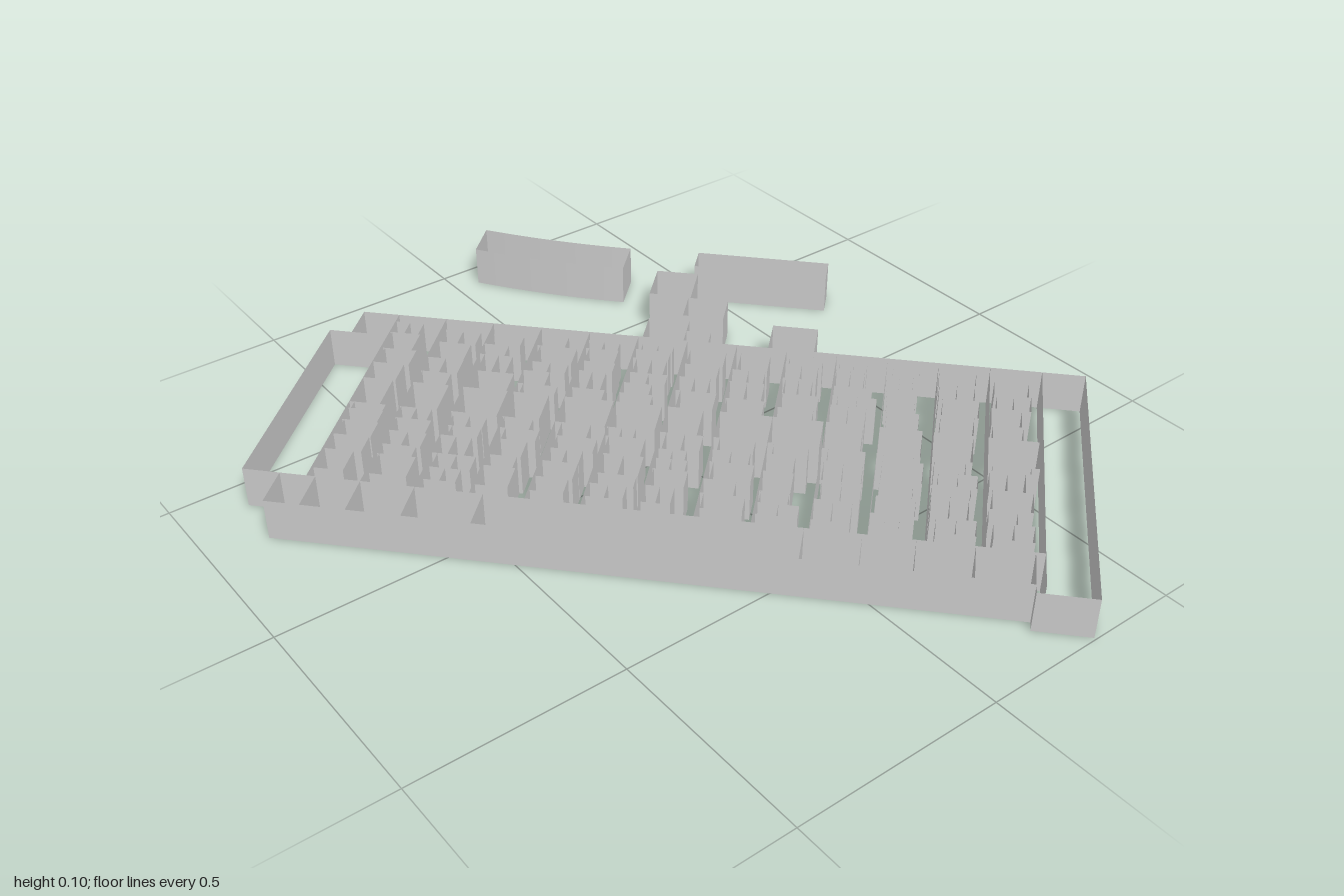
import * as THREE from 'three';

const H = 0.1;
const material = new THREE.MeshStandardMaterial({ color: 0xcccccc, side: THREE.DoubleSide, flatShading: true });

// Plan coordinates: l runs along the building, w across it
const A = [0.678, 0.735], B = [0.735, -0.678];
const toWorld = ([l, w]) => [l * A[0] + w * B[0], l * A[1] + w * B[1]];

// Open-topped vertical walls following a list of plan paths
function walls(name, paths) {
  const pos = [];
  for (const path of paths) {
    for (let i = 0; i < path.length - 1; i++) {
      const [x0, z0] = toWorld(path[i]), [x1, z1] = toWorld(path[i + 1]);
      pos.push(x0, 0, z0, x1, 0, z1, x1, H, z1, x0, 0, z0, x1, H, z1, x0, H, z0);
    }
  }
  const geo = new THREE.BufferGeometry();
  geo.setAttribute('position', new THREE.Float32BufferAttribute(pos, 3));
  geo.computeVertexNormals();
  const mesh = new THREE.Mesh(geo, material);
  mesh.name = name;
  return mesh;
}

const room = (l0, l1, w0, w1) => [[l0, w0], [l1, w0], [l1, w1], [l0, w1], [l0, w0]];

let seed = 7;
const rand = () => (seed = (seed * 16807) % 2147483647) / 2147483647;

export function createModel() {
  const group = new THREE.Group();
  group.name = 'floorPlan';

  // Outer shell with stepped corners
  group.add(walls('outerWalls', [[
    [0.925, -0.465], [0.92, 0.33], [-0.83, 0.325], [-0.83, 0.23], [-0.885, 0.23],
    [-0.885, -0.34], [-0.8, -0.34], [-0.8, -0.44], [0.8, -0.44], [0.8, -0.465], [0.925, -0.465],
  ]]));

  // Shallow rooms across both ends
  group.add(walls('endRooms', [
    [[0.82, -0.44], [0.82, 0.33]],
    [[-0.74, -0.34], [-0.74, 0.325]],
    [[-0.83, 0.23], [-0.74, 0.23]],
  ]));

  // Side bay: small rooms on either side of a long open court
  const bay = [[[-0.8, -0.34], [0.82, -0.34]]];
  for (const l of [-0.72, -0.62, -0.5, -0.35, 0.33, 0.45, 0.56, 0.68, 0.8]) bay.push([[l, -0.44], [l, -0.34]]);
  group.add(walls('sideBay', bay));

  // Repeated units, each with a party wall, a hall cell and two chains of rooms
  const party = [], halls = [], cells = [];
  const count = 13, l0 = -0.74, pitch = 1.56 / count;
  for (let i = 0; i < count; i++) {
    const l = l0 + i * pitch;
    if (i) party.push([[l, -0.34], [l, 0.325]]);
    halls.push(room(l, l + pitch * (0.6 + 0.4 * rand()), -0.055, 0.045));
    for (const [from, to] of [[-0.31, -0.055], [0.045, 0.295]]) {
      let w = from;
      while (w < to - 0.02) {
        const next = Math.min(w + 0.035 + 0.04 * rand(), to);
        const start = l + pitch * 0.15 * rand(), depth = pitch * (0.5 + 0.25 * rand());
        cells.push(room(start, start + depth, w, next));
        if (rand() < 0.5) cells.push([[start + depth / 2, w], [start + depth / 2, next]]);
        w = next;
      }
    }
  }
  group.add(walls('partyWalls', party), walls('hallCells', halls), walls('smallRooms', cells));

  // Porches on the long side
  group.add(walls('porches', [
    room(-0.13, -0.03, 0.326, 0.415),
    room(-0.03, 0.03, 0.326, 0.37),
    room(0.175, 0.285, 0.328, 0.43),
  ]));

  // Stepped links to the detached wing
  group.add(walls('linkRooms', [room(-0.05, 0.05, 0.44, 0.525), room(-0.15, -0.045, 0.53, 0.645)]));

  // Detached wing: a straight room and a room that bends outward
  group.add(walls('straightWing', [room(-0.06, 0.28, 0.685, 0.755)]));
  const bend = (w) => Array.from({ length: 9 }, (_, i) => {
    const t = i / 8;
    return [-0.24 - 0.4 * t, w + 0.035 * t * t];
  });
  const inner = bend(0.64), outer = bend(0.747).reverse();
  group.add(walls('curvedWing', [[...inner, ...outer, inner[0]]]));

  return group;
}
